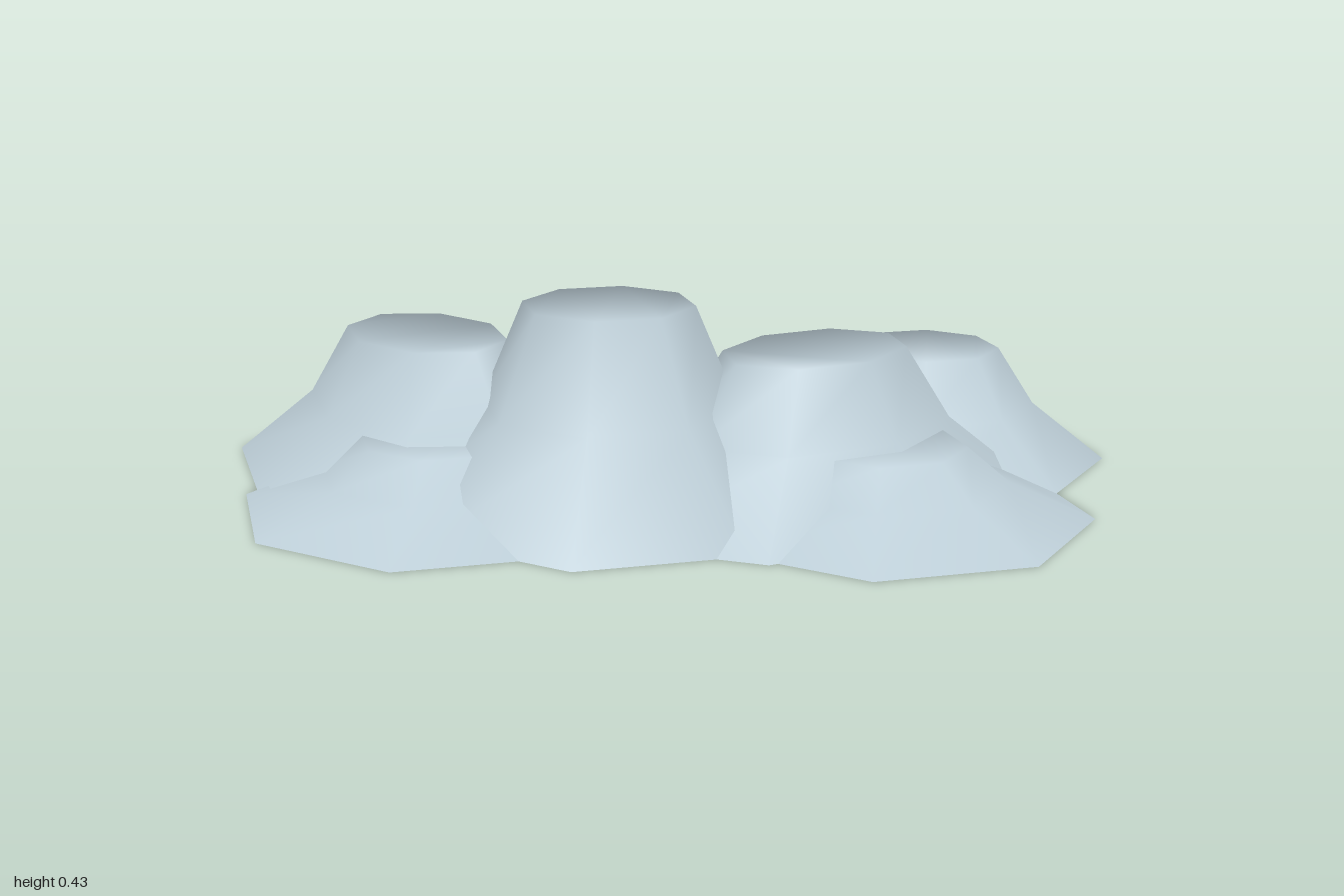
import * as THREE from 'three';

const SIDES = 8;
// height fraction, radius fraction of each ring
const RINGS = [[0, 1], [0.5, 0.6], [1, 0.4]];

// Eight-sided flared mound: smooth sides, flat crown and flat underside
function moundGeometry(height, rx, rz, turn) {
  const pos = [], sideIndex = [];
  const addRing = (y, f) => {
    for (let i = 0; i < SIDES; i++) {
      const t = (i / SIDES) * Math.PI * 2;
      const u = Math.cos(t) * rx * f, v = Math.sin(t) * rz * f;
      pos.push(u * Math.cos(turn) - v * Math.sin(turn), y, u * Math.sin(turn) + v * Math.cos(turn));
    }
  };
  RINGS.forEach(([y, f]) => addRing(y * height, f));
  for (let r = 0; r < RINGS.length - 1; r++) {
    for (let i = 0; i < SIDES; i++) {
      const a = r * SIDES + i, b = r * SIDES + (i + 1) % SIDES;
      sideIndex.push(a, a + SIDES, b, b, a + SIDES, b + SIDES);
    }
  }
  // Separate ring for the underside, so the bottom edge stays sharp
  const under = RINGS.length * SIDES;
  addRing(0, 1);
  const underIndex = [];
  for (let i = 1; i < SIDES - 1; i++) underIndex.push(under, under + i, under + i + 1);

  const geo = new THREE.BufferGeometry();
  geo.setAttribute('position', new THREE.Float32BufferAttribute(pos, 3));
  geo.setIndex([...sideIndex, ...underIndex]);
  geo.computeVertexNormals();

  // The crown shares the rim's side normals, so it shades as a soft continuation
  const rim = (RINGS.length - 1) * SIDES;
  const crown = [0, 7, 1, 1, 7, 6, 1, 6, 2, 2, 6, 5, 2, 5, 3, 3, 5, 4].map((i) => i + rim);
  geo.setIndex([...sideIndex, ...underIndex, ...crown]);
  return geo;
}

export function createModel() {
  const group = new THREE.Group();
  group.name = 'moundCluster';
  const paleBlue = new THREE.MeshStandardMaterial({ color: 0xbdced7 });
  paleBlue.name = 'paleBlueGrey';

  // name, x, z, height, long radius, short radius, turn
  const mounds = [
    ['tallMound', -0.075, 0.18, 0.43, 0.46, 0.46, 0],
    ['rightLongMound', -0.51, 0.02, 0.318, 0.574, 0.405, 0.85],
    ['leftLongMound', 0.35, 0.055, 0.318, 0.574, 0.405, -0.85],
    ['backMound', 0.585, -0.285, 0.253, 0.41, 0.41, 0],
    ['leftFrontApron', 0.5, 0.17, 0.145, 0.445, 0.445, 0],
    ['rightFrontApron', -0.42, 0.25, 0.145, 0.44, 0.44, 0],
  ];
  for (const [name, x, z, height, rx, rz, turn] of mounds) {
    const mesh = new THREE.Mesh(moundGeometry(height, rx, rz, turn), paleBlue);
    mesh.name = name;
    mesh.position.set(x, 0, z);
    group.add(mesh);
  }
  return group;
}
